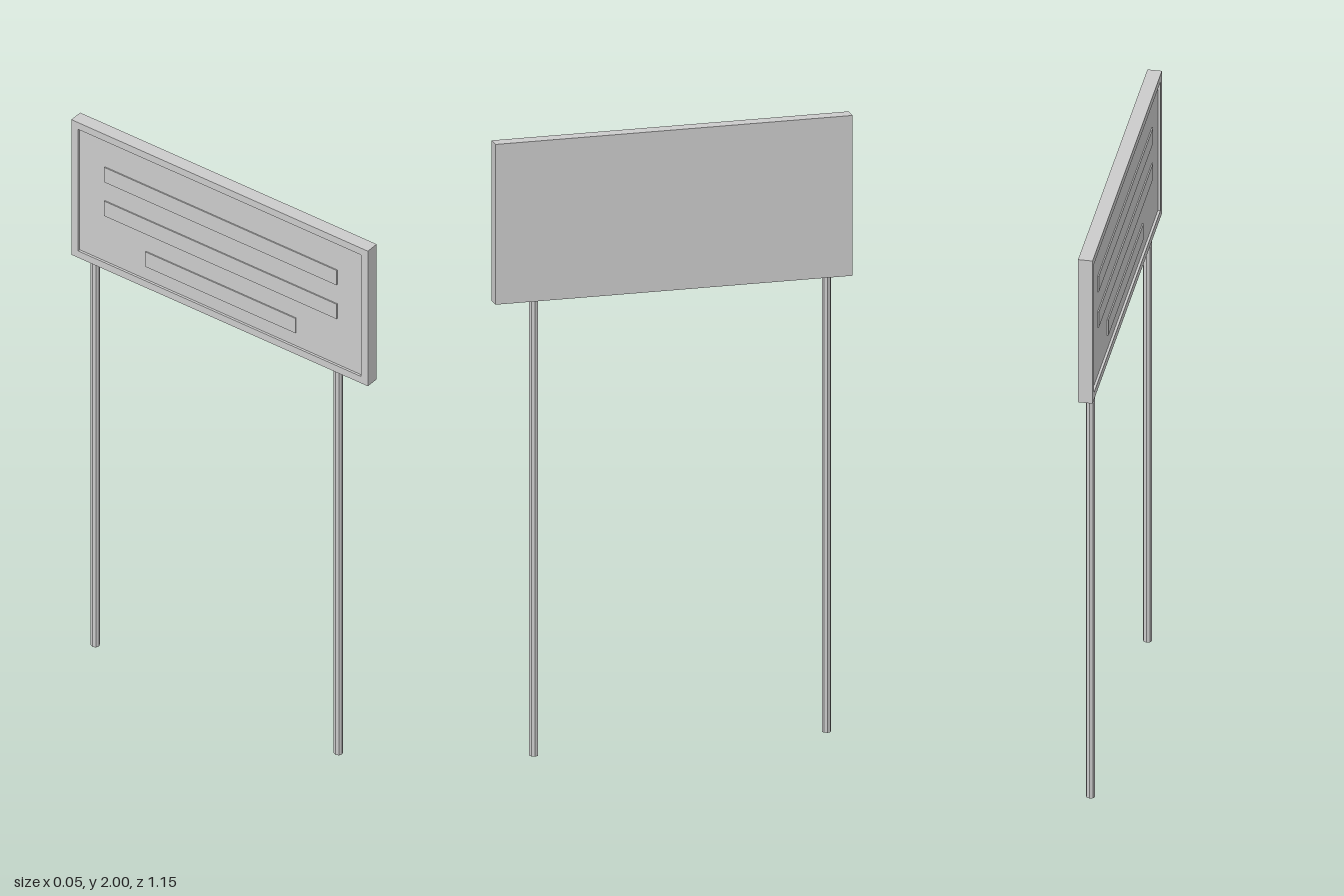
import * as THREE from 'three';

const material = new THREE.MeshStandardMaterial({ color: 0xcccccc, flatShading: true });

function add(group, name, geometry, x, y, z) {
  const mesh = new THREE.Mesh(geometry, material);
  mesh.name = name;
  mesh.position.set(x, y, z);
  group.add(mesh);
  return mesh;
}

function rectangle(PathType, width, height) {
  const w = width / 2, h = height / 2;
  return new PathType([[-w, -h], [w, -h], [w, h], [-w, h]].map(([x, y]) => new THREE.Vector2(x, y)));
}

export function createModel() {
  const model = new THREE.Group();
  model.name = 'signboard';

  const length = 1.155, height = 0.52, depth = 0.046, recess = 0.008, border = 0.026;
  const centreY = 2 - height / 2;

  // Backing board, plain on the +x side
  add(model, 'board', new THREE.BoxGeometry(depth - recess, height, length), recess / 2, centreY, 0);

  // Raised rim around the lettering side (-x)
  const rimShape = rectangle(THREE.Shape, length, height);
  rimShape.holes.push(rectangle(THREE.Path, length - 2 * border, height - 2 * border));
  const rimGeometry = new THREE.ExtrudeGeometry(rimShape, { depth: recess, bevelEnabled: false });
  rimGeometry.rotateY(-Math.PI / 2);
  add(model, 'rim', rimGeometry, -depth / 2 + recess, centreY, 0);

  // Three thin raised strips on the recessed face
  const strips = [[1.84, 0.905], [1.71, 0.905], [1.585, 0.585]];
  for (const [y, stripLength] of strips) {
    add(model, 'raisedStrip', new THREE.BoxGeometry(0.004, 0.057, stripLength), -depth / 2 + recess - 0.002, y, 0);
  }

  // Two slender posts, slightly off centre under the board
  const postHeight = 2 - height + 0.01;
  for (const [name, z] of [['frontPost', 0.447], ['backPost', -0.5]]) {
    const post = new THREE.CylinderGeometry(0.0145, 0.0145, postHeight, 8);
    add(model, name, post, -0.002, postHeight / 2, z);
  }

  return model;
}
